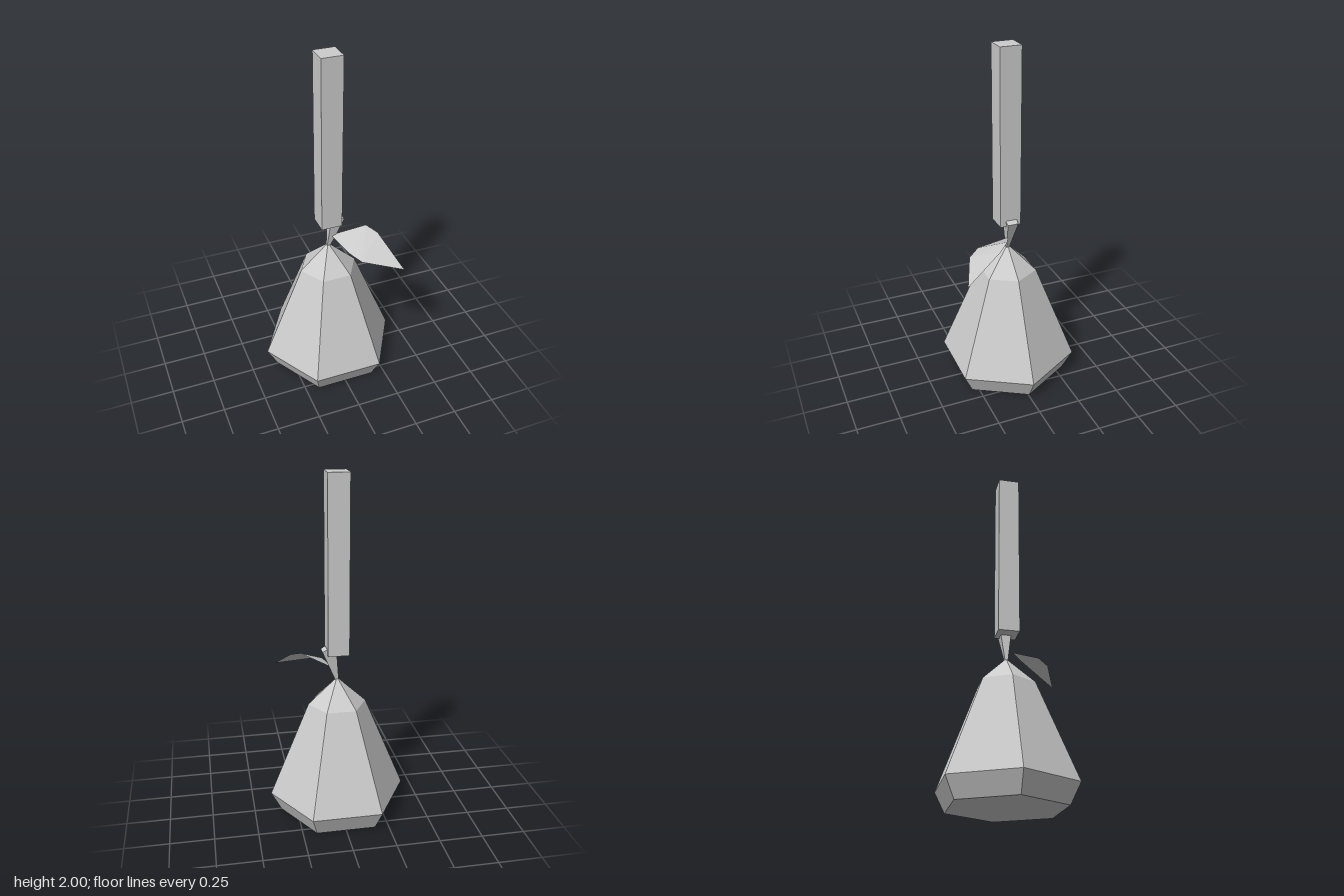
import * as THREE from 'three';

const grey = new THREE.MeshStandardMaterial({ color: 0xcccccc, flatShading: true });
grey.name = 'grey';
const leafGrey = grey.clone();
leafGrey.side = THREE.DoubleSide;

function part(name, geometry, material = grey) {
  const flat = geometry.index ? geometry.toNonIndexed() : geometry;
  flat.computeVertexNormals();
  const mesh = new THREE.Mesh(flat, material);
  mesh.name = name;
  return mesh;
}

export function createModel() {
  const model = new THREE.Group();
  model.name = 'hangingFruit';

  // six-sided body, corners on the x axis
  const profile = [[0, 0], [0.34, 0], [0.4, 0.115], [0.168, 0.68], [0, 0.837]]
    .map(([r, y]) => new THREE.Vector2(r, y));
  const body = part('body', new THREE.LatheGeometry(profile, 6, Math.PI / 2));
  body.position.z = -0.006;
  model.add(body);

  // square post above
  const post = part('post', new THREE.BoxGeometry(0.122, 1.015, 0.122));
  post.position.set(-0.001, 1.4925, -0.001);
  model.add(post);

  // leaning stem, widening towards its top
  const outline = new THREE.Shape([[-0.009, 0.82], [0.01, 0.82], [0.088, 1.004], [0.062, 1.02], [0.006, 0.99]]
    .map(([x, y]) => new THREE.Vector2(x, y)));
  const stem = new THREE.ExtrudeGeometry(outline, { depth: 2, bevelEnabled: false });
  stem.translate(0, 0, -1);
  const p = stem.attributes.position;
  for (let i = 0; i < p.count; i++) {
    const half = 0.008 + (p.getY(i) - 0.82) * 0.126;
    p.setZ(i, p.getZ(i) * half - 0.005);
  }
  model.add(part('stem', stem));

  // folded leaf
  const base = [0.015, 0.89, -0.004], shoulder = [0.2, 0.967, 0.076], edge = [0.248, 0.94, 0.136];
  const tip = [0.32, 0.808, 0.35], low = [0.1, 0.858, 0.262], side = [0.053, 0.882, 0.195];
  const faces = [base, side, shoulder, side, low, shoulder, low, edge, shoulder, low, tip, edge];
  const leaf = new THREE.BufferGeometry();
  leaf.setAttribute('position', new THREE.Float32BufferAttribute(faces.flat(), 3));
  model.add(part('leaf', leaf, leafGrey));

  return model;
}
